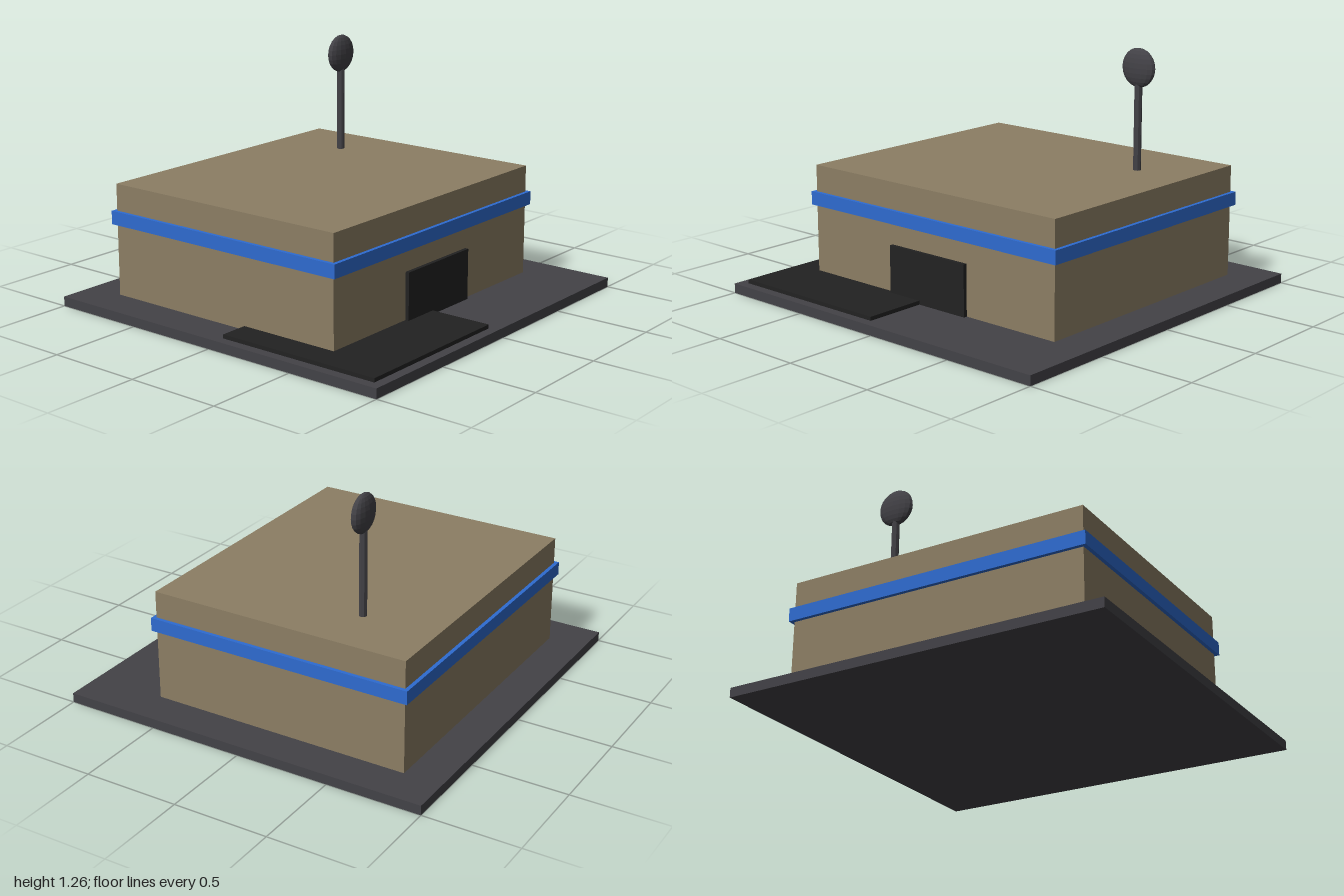
import * as THREE from 'three';

const material = (name, color) => {
  const m = new THREE.MeshStandardMaterial({ color });
  m.name = name;
  return m;
};

export function createModel() {
  const model = new THREE.Group();
  model.name = 'building';
  const wall = material('tan wall', 0x8c7e64);
  const blue = material('blue trim', 0x2e6bd0);
  const grey = material('dark grey', 0x434247);
  const black = material('near black', 0x222222);

  const add = (name, geometry, mat, x, y, z) => {
    const mesh = new THREE.Mesh(geometry, mat);
    mesh.name = name;
    mesh.position.set(x, y, z);
    model.add(mesh);
    return mesh;
  };
  // Box given by its lower and upper corners
  const box = (name, mat, [x0, y0, z0], [x1, y1, z1]) =>
    add(name, new THREE.BoxGeometry(x1 - x0, y1 - y0, z1 - z0), mat,
      (x0 + x1) / 2, (y0 + y1) / 2, (z0 + z1) / 2);
  // Gives each facet its own normal
  const faceted = (geometry) => {
    const flat = geometry.toNonIndexed();
    flat.computeVertexNormals();
    return flat;
  };

  // Ground slab and paved corner
  box('groundSlab', grey, [-1, 0, -1], [1, 0.05, 1]);
  box('pavedPad', black, [-0.95, 0.05, 0.05], [-0.05, 0.07, 0.95]);

  // Main block, trim band and door
  box('mainBlock', wall, [-0.8, 0.05, -0.8], [0.8, 0.635, 0.6]);
  box('trimBand', blue, [-0.82, 0.425, -0.82], [0.82, 0.495, 0.62]);
  box('door', black, [-0.25, 0.05, 0.58], [0.25, 0.315, 0.62]);

  // Rooftop mast with a flattened dish
  add('mast', faceted(new THREE.CylinderGeometry(0.02, 0.02, 0.5, 8)), grey, 0.5, 0.885, -0.4);
  const dishShape = new THREE.SphereGeometry(0.1, 16, 12).scale(1, 1, 0.35);
  add('dish', faceted(dishShape), grey, 0.5, 1.16, -0.4);

  return model;
}
